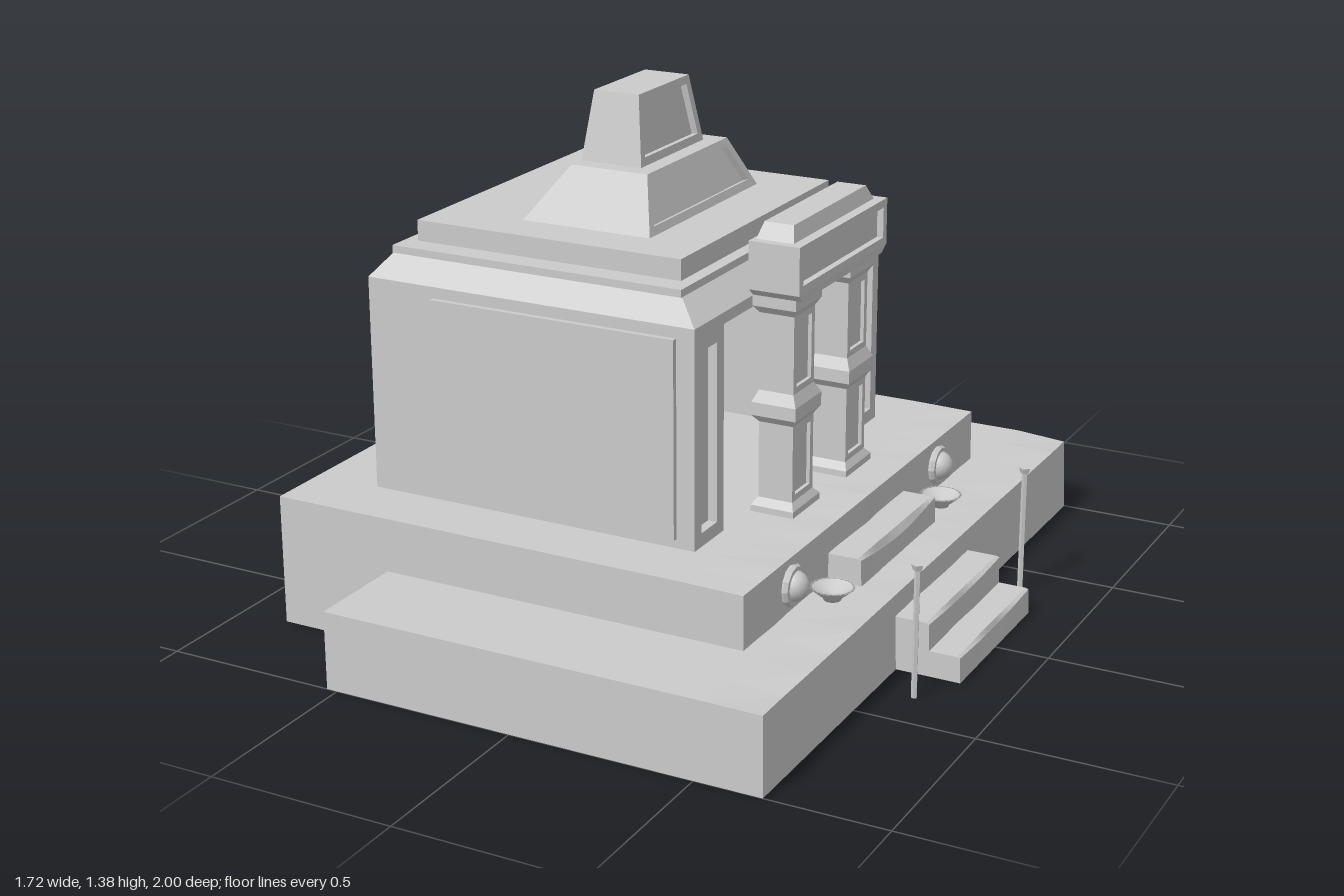
import * as THREE from 'three';

const mat = new THREE.MeshStandardMaterial({ color: 0xcccccc, flatShading: true });
const smooth = new THREE.MeshStandardMaterial({ color: 0xcccccc, side: THREE.DoubleSide });

function add(parent, name, geo, m = mat) {
  const mesh = new THREE.Mesh(geo, m);
  mesh.name = name;
  parent.add(mesh);
  return mesh;
}

// Block between two rectangles [x0, x1, z0, z1]; with a recess { margin, depth } its +x face gets a sunk panel
function block(y0, y1, bottom, top = bottom, recess = null) {
  const pos = [];
  const quad = (a, b, c, d) => [a, b, c, a, c, d].forEach(v => pos.push(v.x, v.y, v.z));
  const ring = ([x0, x1, z0, z1], y) =>
    [[x0, z1], [x1, z1], [x1, z0], [x0, z0]].map(([x, z]) => new THREE.Vector3(x, y, z));
  const lo = ring(bottom, y0), hi = ring(top, y1);
  for (let k = 0; k < 4; k++) {
    const n = (k + 1) % 4;
    const o = [lo[k], lo[n], hi[n], hi[k]];
    if (k !== 1 || !recess) { quad(...o); continue; }
    const normal = o[1].clone().sub(o[0]).cross(o[3].clone().sub(o[0])).normalize();
    const rim = o.map((p, i) => {
      const toNext = o[(i + 1) % 4].clone().sub(p).normalize();
      const toPrev = o[(i + 3) % 4].clone().sub(p).normalize();
      return p.clone().addScaledVector(toNext.add(toPrev), recess.margin);
    });
    const floor = rim.map(p => p.clone().addScaledVector(normal, -recess.depth));
    for (let i = 0; i < 4; i++) {
      const j = (i + 1) % 4;
      quad(o[i], o[j], rim[j], rim[i]);
      quad(rim[i], rim[j], floor[j], floor[i]);
    }
    quad(...floor);
  }
  quad(...hi);
  quad(lo[3], lo[2], lo[1], lo[0]);
  const geo = new THREE.BufferGeometry();
  geo.setAttribute('position', new THREE.Float32BufferAttribute(pos, 3));
  geo.computeVertexNormals();
  return geo;
}

// Stone slab whose upper +x edge is slightly worn; dip lowers the middle of that edge
function wornSlab([x0, x1, y0, y1, z0, z1], wear, dip = 0) {
  const geo = new THREE.BoxGeometry(x1 - x0, y1 - y0, z1 - z0, 8, 1, 16);
  geo.translate((x0 + x1) / 2, (y0 + y1) / 2, (z0 + z1) / 2);
  const p = geo.attributes.position;
  for (let i = 0; i < p.count; i++) {
    const z = p.getZ(i);
    if (p.getX(i) < x1 - 1e-4 || p.getY(i) < y1 - 1e-4) continue;
    const w = wear * (0.5 + 0.5 * Math.sin(z * 17 + x1 * 9) * Math.cos(z * 7));
    const middle = Math.cos(Math.PI * ((z - z0) / (z1 - z0) - 0.5));
    p.setX(i, x1 - w);
    p.setY(i, y1 - w - dip * middle);
  }
  geo.computeVertexNormals();
  return geo;
}

export function createModel() {
  const model = new THREE.Group();
  model.name = 'shrine';

  // Stepped foundation and stairs
  add(model, 'lowerTerrace', wornSlab([-0.53, 0.68, 0, 0.21, -1, 1], 0.012));
  add(model, 'upperTerrace', wornSlab([-0.86, 0.49, 0, 0.355, -0.72, 0.72], 0.008));
  add(model, 'topStep', wornSlab([0.48, 0.58, 0.2, 0.28, -0.24, 0.24], 0.006, 0.02));
  add(model, 'middleStep', wornSlab([0.67, 0.77, 0, 0.145, -0.24, 0.24], 0.006, 0.008));
  add(model, 'bottomStep', wornSlab([0.76, 0.855, 0, 0.07, -0.24, 0.24], 0.006, 0.008));

  // Hollow chamber, open to the front
  const chamber = new THREE.Group();
  chamber.name = 'chamber';
  model.add(chamber);
  add(chamber, 'backWall', block(0.355, 0.9, [-0.675, -0.6, -0.4, 0.4]));
  add(chamber, 'ceiling', block(0.9, 0.93, [-0.675, 0.265, -0.545, 0.545]));
  for (const s of [-1, 1]) {
    const zs = (a, b) => [Math.min(s * a, s * b), Math.max(s * a, s * b)];
    add(chamber, 'sideWall', block(0.355, 0.9, [-0.675, 0.265, ...zs(0.39, 0.545)], undefined,
      { margin: 0.036, depth: 0.025 }));
    add(chamber, 'sidePanel', block(0.38, 0.9, [-0.48, 0.215, ...zs(0.53, 0.56)]));
  }

  // Roof tiers
  const roof = new THREE.Group();
  roof.name = 'roof';
  model.add(roof);
  add(roof, 'bevel', block(0.93, 0.985, [-0.675, 0.265, -0.545, 0.545], [-0.635, 0.2, -0.485, 0.485]));
  add(roof, 'lowerSlab', block(0.985, 1.005, [-0.635, 0.2, -0.49, 0.49]));
  add(roof, 'upperSlab', block(1.005, 1.06, [-0.6, 0.165, -0.425, 0.425]));
  add(roof, 'spireBase', block(1.06, 1.2, [-0.36, 0.01, -0.3, 0.3], [-0.26, -0.04, -0.22, 0.22],
    { margin: 0.025, depth: 0.018 }));
  add(roof, 'spireTop', block(1.2, 1.38, [-0.26, -0.085, -0.17, 0.17], [-0.24, -0.11, -0.135, 0.135],
    { margin: 0.022, depth: 0.018 }));

  // Gateway: two panelled columns, each row is y0, y1, half sizes below and above, panelled
  const gate = new THREE.Group();
  gate.name = 'gateway';
  model.add(gate);
  const rows = [
    [0.355, 0.372, 0.06, 0.08, 0.06, 0.08],
    [0.372, 0.39, 0.06, 0.08, 0.048, 0.06],
    [0.39, 0.595, 0.048, 0.06, 0.048, 0.06, true],
    [0.595, 0.615, 0.048, 0.06, 0.062, 0.076],
    [0.615, 0.65, 0.062, 0.076, 0.062, 0.076],
    [0.65, 0.68, 0.062, 0.076, 0.048, 0.06],
    [0.68, 0.885, 0.048, 0.06, 0.048, 0.06, true],
    [0.885, 0.905, 0.048, 0.06, 0.06, 0.076],
    [0.905, 0.94, 0.06, 0.076, 0.06, 0.076],
  ];
  for (const z of [-0.162, 0.162]) {
    const column = new THREE.Group();
    column.name = 'column';
    gate.add(column);
    const rect = (hx, hz) => [0.327 - hx, 0.327 + hx, z - hz, z + hz];
    for (const [y0, y1, ax, az, bx, bz, panel] of rows)
      add(column, panel ? 'panelledShaft' : 'columnMoulding', block(y0, y1, rect(ax, az), rect(bx, bz),
        panel ? { margin: 0.017, depth: 0.01 } : null));
  }
  add(gate, 'lintelUnderside', block(0.935, 0.955, [0.27, 0.405, -0.242, 0.242], [0.27, 0.408, -0.265, 0.265]));
  add(gate, 'lintel', block(0.955, 1.08, [0.268, 0.408, -0.265, 0.265], undefined,
    { margin: 0.022, depth: 0.018 }));
  add(gate, 'lintelCap', block(1.08, 1.12, [0.277, 0.38, -0.24, 0.24], [0.287, 0.368, -0.215, 0.215]));

  // Paired ornaments in front
  const bowlProfile = [[0, 0], [0.022, 0], [0.026, 0.008], [0.058, 0.034], [0.05, 0.034], [0.025, 0.018], [0, 0.014]]
    .map(([x, y]) => new THREE.Vector2(x, y));
  for (const s of [-1, 1]) {
    add(model, 'bowl', new THREE.LatheGeometry(bowlProfile, 20), smooth).position.set(0.55, 0.21, s * 0.35);
    const ring = add(model, 'orbRing', new THREE.TorusGeometry(0.045, 0.011, 6, 12));
    ring.rotation.y = Math.PI / 2;
    ring.position.set(0.494, 0.28, s * 0.462);
    add(model, 'orb', new THREE.SphereGeometry(0.04, 16, 12), smooth).position.set(0.496, 0.28, s * 0.462);
    add(model, 'pole', new THREE.CylinderGeometry(0.008, 0.008, 0.35, 5)).position.set(0.783, 0.175, s * 0.365);
    add(model, 'poleHead', new THREE.CylinderGeometry(0.017, 0.012, 0.016, 5)).position.set(0.783, 0.35, s * 0.365);
  }
  return model;
}
